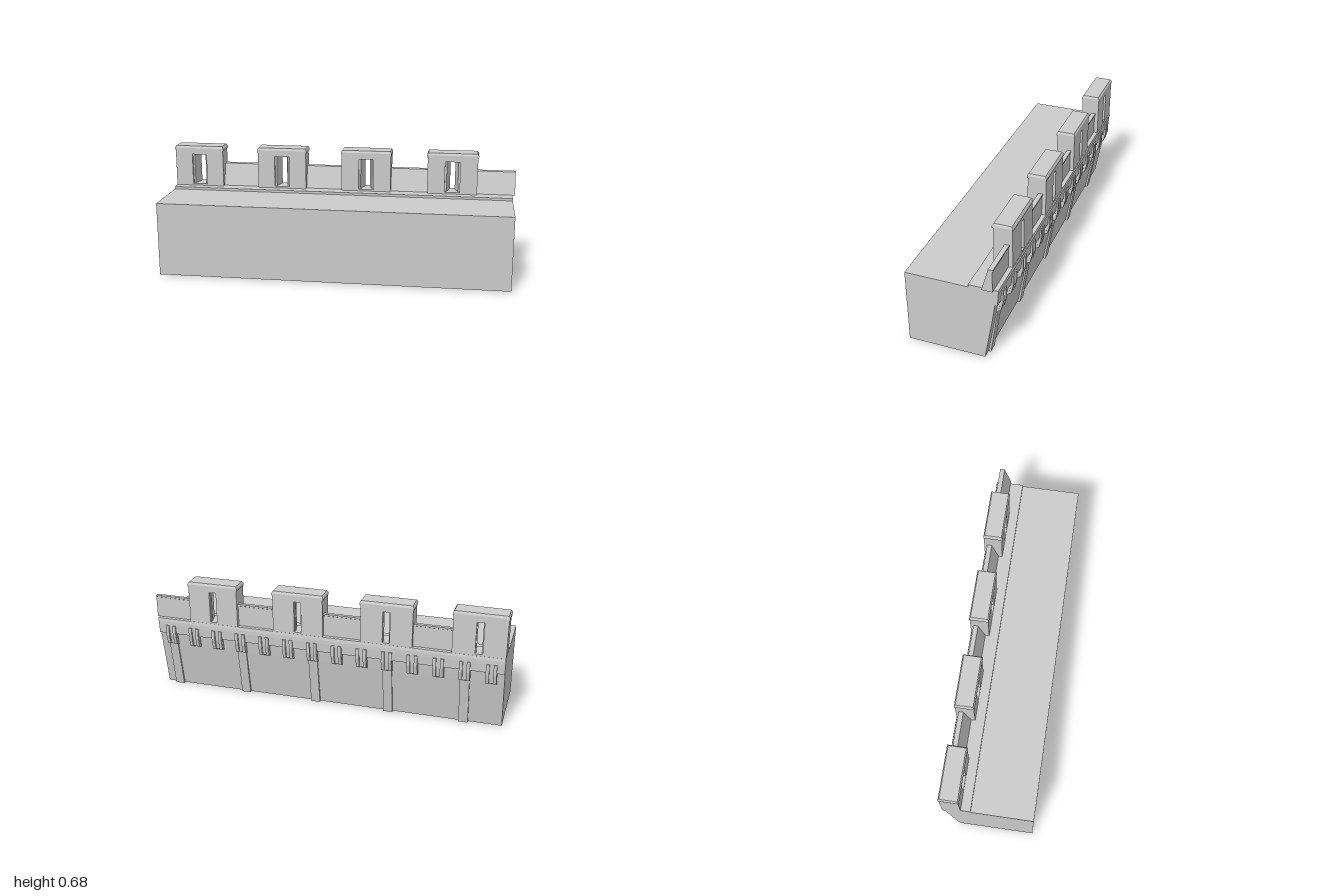
import * as THREE from 'three';

const material = new THREE.MeshStandardMaterial({ color: 0xcccccc, flatShading: true });

function toShape(points) {
  return new THREE.Shape(points.map(([a, b]) => new THREE.Vector2(a, b)));
}

function addMesh(parent, geometry, name) {
  const mesh = new THREE.Mesh(geometry, material);
  mesh.name = name;
  parent.add(mesh);
  return mesh;
}

// Sweep a [z, y] side profile from x0 to x1
function addSweep(parent, name, profile, x0, x1) {
  const geo = new THREE.ExtrudeGeometry(toShape(profile), { depth: x1 - x0, bevelEnabled: false });
  geo.rotateY(-Math.PI / 2);
  geo.translate(x1, 0, 0);
  return addMesh(parent, geo, name);
}

// Raise an [x, z] floor plan from y0 to y1
function addPrism(parent, name, plan, y0, y1) {
  const geo = new THREE.ExtrudeGeometry(toShape(plan.map(([x, z]) => [x, -z])), { depth: y1 - y0, bevelEnabled: false });
  geo.rotateX(-Math.PI / 2);
  geo.translate(0, y0, 0);
  return addMesh(parent, geo, name);
}

function addBox(parent, name, x0, x1, y0, y1, z0, z1) {
  const geo = new THREE.BoxGeometry(x1 - x0, y1 - y0, z1 - z0);
  geo.translate((x0 + x1) / 2, (y0 + y1) / 2, (z0 + z1) / 2);
  return addMesh(parent, geo, name);
}

// Coping stone with a chamfered top edge
function capGeometry(width, height, depth, chamfer) {
  const geo = new THREE.BoxGeometry(width, height, depth, 1, 2, 1).toNonIndexed();
  const p = geo.attributes.position;
  for (let i = 0; i < p.count; i++) {
    if (p.getY(i) > height * 0.4) {
      p.setX(i, p.getX(i) - Math.sign(p.getX(i)) * chamfer);
      p.setZ(i, p.getZ(i) - Math.sign(p.getZ(i)) * chamfer);
    }
  }
  geo.computeVertexNormals();
  return geo;
}

function createMerlon() {
  const merlon = new THREE.Group();
  merlon.name = 'merlon';
  const front = -0.141, back = -0.243, half = 0.143;
  const slitBottom = 0.447, slitTop = 0.625;

  // Jambs with a stepped front rebate and a splay narrowing to the rear slit
  const jamb = [
    [half, front], [0.043, front], [0.043, -0.157], [0.033, -0.157],
    [0.014, -0.228], [0.02, -0.228], [0.02, back], [half, back],
  ];
  addPrism(merlon, 'leftJamb', jamb, 0.437, 0.655);
  addPrism(merlon, 'rightJamb', jamb.map(([x, z]) => [-x, z]).reverse(), 0.437, 0.655);
  addBox(merlon, 'slitSill', -0.043, 0.043, 0.435, slitBottom, back, front);
  addBox(merlon, 'slitLintel', -0.043, 0.043, slitTop, 0.655, back, front);

  const cap = addMesh(merlon, capGeometry(0.294, 0.025, 0.108, 0.007), 'merlonCap');
  cap.position.set(0, 0.6625, -0.191);
  return merlon;
}

export function createModel() {
  const model = new THREE.Group();
  model.name = 'battlementWall';
  const left = 0.985, right = -0.995;

  // Main rampart with a sloping outer face
  addSweep(model, 'rampart', [
    [0.25, 0.003], [0.25, 0.423], [-0.23, 0.423], [-0.225, 0.34], [-0.215, 0.273], [-0.168, 0.003],
  ], right, left);

  // Ledge that carries the battlements
  addSweep(model, 'ledge', [
    [-0.088, 0.42], [-0.088, 0.437], [-0.244, 0.437], [-0.247, 0.42],
  ], right, left);

  // Projecting frieze above the corbels
  addSweep(model, 'frieze', [
    [-0.2, 0.345], [-0.2, 0.422], [-0.243, 0.422], [-0.243, 0.395], [-0.239, 0.345],
  ], right, left);

  // Corbels: a backing tooth with a pair of raised plates on it
  const tooth = [[-0.2, 0.273], [-0.2, 0.395], [-0.243, 0.395], [-0.237, 0.335], [-0.228, 0.28], [-0.218, 0.273]];
  const plate = [[-0.21, 0.28], [-0.21, 0.395], [-0.25, 0.395], [-0.25, 0.335], [-0.237, 0.281]];
  for (let i = 0; i < 14; i++) {
    const x = -0.925 + i * 0.1412;
    const corbel = new THREE.Group();
    corbel.name = 'corbel';
    corbel.position.x = x;
    addSweep(corbel, 'corbelTooth', tooth, -0.03, 0.03);
    for (const s of [-1, 1]) addSweep(corbel, 'corbelPlate', plate, s * 0.02 - 0.009, s * 0.02 + 0.009);
    model.add(corbel);
  }

  // Flat pilaster strips on the sloping face
  const strip = [[-0.16, 0], [-0.205, 0.275], [-0.222, 0.275], [-0.18, 0]];
  for (let i = 0; i < 5; i++) {
    const x = -0.785 + i * 0.424;
    addSweep(model, 'pilaster', strip, x - 0.026, x + 0.026);
  }

  // Merlons alternating with low parapet walls
  const parapet = [
    [-0.163, 0.436], [-0.2, 0.565], [-0.226, 0.567], [-0.226, 0.558], [-0.221, 0.555], [-0.221, 0.436],
  ];
  for (let i = 0; i < 4; i++) {
    const x = -0.853 + i * 0.498;
    const merlon = createMerlon();
    merlon.position.x = x;
    model.add(merlon);
    addSweep(model, 'parapet', parapet, x + 0.14, i < 3 ? x + 0.358 : 1);
  }

  return model;
}
